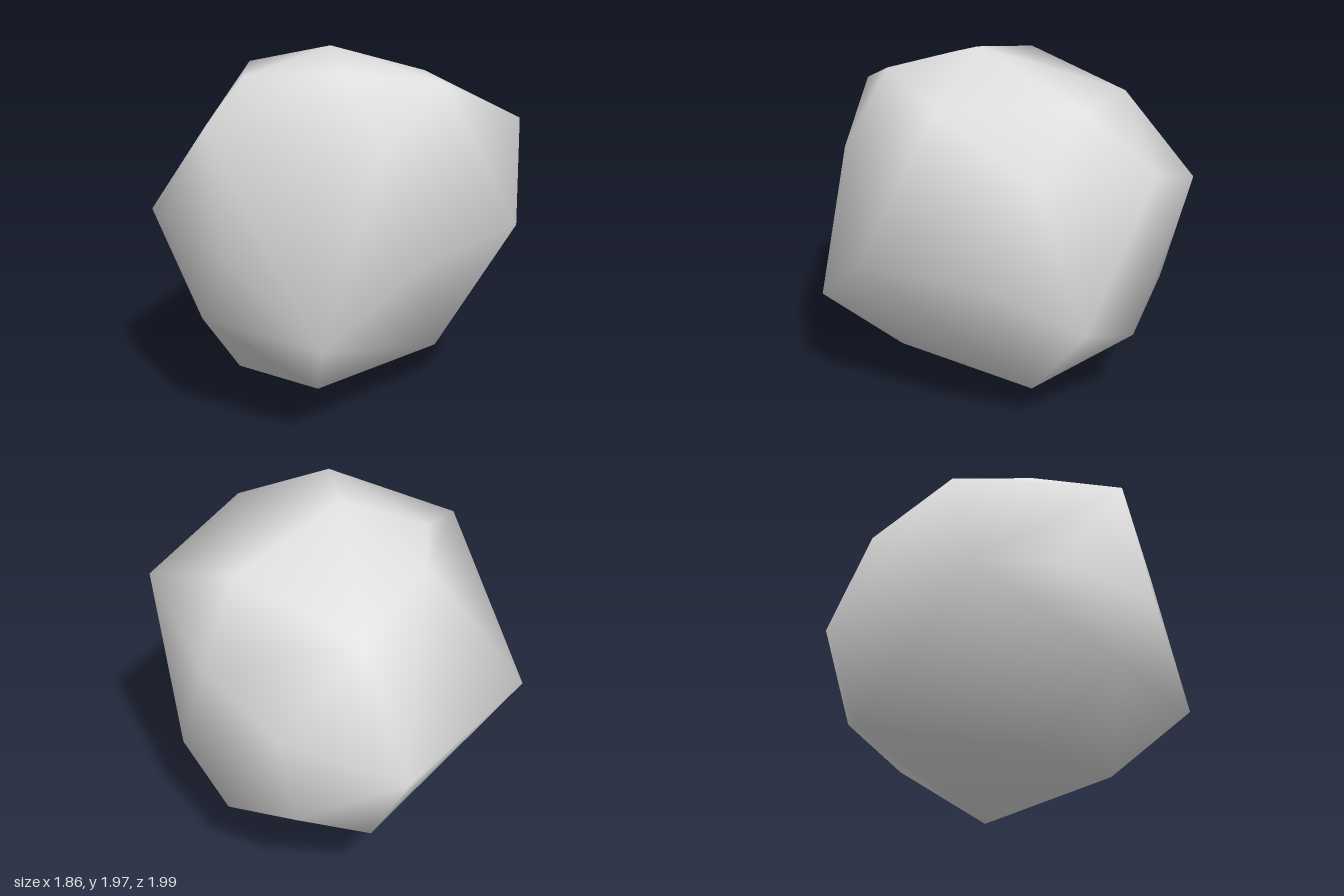
import * as THREE from 'three';
import { mergeVertices } from 'three/addons/utils/BufferGeometryUtils.js';
import { ConvexGeometry } from 'three/addons/geometries/ConvexGeometry.js';

// Corners of the boulder, in rings from the top down
const crown = [
  [-0.06, 1.97, 0.13], [-0.17, 1.91, 0.62], [0.35, 1.83, 0.66],
  [0.6, 1.76, -0.08], [-0.33, 1.82, -0.41], [-0.51, 1.81, 0],
];
const shoulder = [
  [-0.84, 1.64, 0.38], [-0.1, 1.56, 0.92], [0.93, 1.56, 0.43],
  [0.87, 1.43, -0.36], [0.13, 1.62, -0.73],
];
const waist = [
  [-0.82, 1, 0.55], [0.1, 0.98, 0.99], [0.8, 1.03, 0.66], [0.62, 1.24, -0.83],
  [-0.02, 0.92, -1], [-0.9, 1, -0.49], [-0.93, 1.05, -0.04],
];
const hip = [
  [-0.86, 0.61, 0.32], [-0.43, 0.58, 0.94], [0.89, 0.64, 0.1],
  [0.76, 0.47, -0.33], [0.51, 0.62, -0.72], [0.1, 0.45, -0.78],
];
const foot = [
  [-0.29, 0.2, 0.52], [0.56, 0.21, 0.2], [-0.56, 0.18, 0.01], [0.12, 0, -0.04],
];

export function createModel() {
  const group = new THREE.Group();
  group.name = 'boulder';
  const stone = new THREE.MeshStandardMaterial({ color: 0xe2e2e2 });
  stone.name = 'pale stone';

  // Few broad faces, with shared corners so that the shading runs smoothly
  const corners = [...crown, ...shoulder, ...waist, ...hip, ...foot];
  const hull = new ConvexGeometry(corners.map((c) => new THREE.Vector3(...c)));
  hull.deleteAttribute('normal');
  const body = mergeVertices(hull, 1e-4);
  body.computeVertexNormals();

  const rock = new THREE.Mesh(body, stone);
  rock.name = 'rock';
  group.add(rock);
  return group;
}
